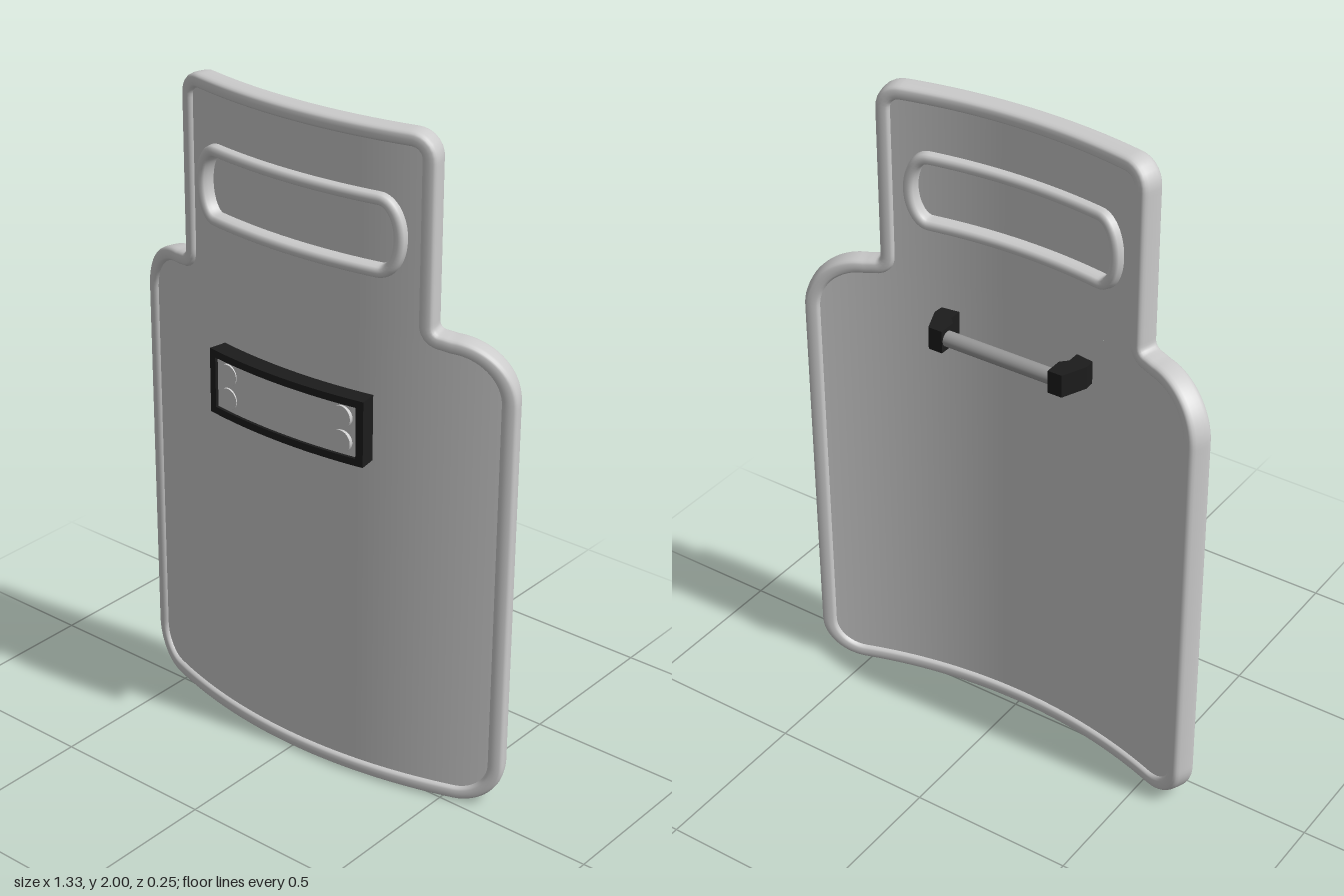
import * as THREE from 'three';

const R = 1.58; // radius of the curved sheet
const ZC = 0.043; // z of the sheet's middle surface at x = 0
const grey = new THREE.MeshStandardMaterial({ color: 0xcccccc });
const black = new THREE.MeshStandardMaterial({ color: 0x1c1c1c });
const steel = new THREE.MeshStandardMaterial({ color: 0x999999 });

// Wraps a flat point onto the curved sheet; z is the offset from its middle surface
function bend(x, y, z) {
  const k = (R + z) / R;
  return [x * k, y, Math.sqrt(R * R - x * x) * k - R + ZC];
}

function buildGeometry(pos, idx) {
  const g = new THREE.BufferGeometry();
  g.setAttribute('position', new THREE.Float32BufferAttribute(pos, 3));
  g.setIndex(idx);
  g.computeVertexNormals();
  return g;
}

// Rounded bead swept round a closed outline (anticlockwise), then bent
function bead(points, halfWidth, halfDepth, sides = 20) {
  const pos = [], idx = [], n = points.length;
  const soft = (v) => Math.sign(v) * Math.pow(Math.abs(v), 0.6);
  points.forEach((p, i) => {
    const t = points[(i + 1) % n].clone().sub(points[(i + n - 1) % n]).normalize();
    for (let j = 0; j < sides; j++) {
      const a = (j / sides) * Math.PI * 2;
      const w = halfWidth * soft(Math.cos(a));
      pos.push(...bend(p.x + t.y * w, p.y - t.x * w, halfDepth * soft(Math.sin(a))));
      const A = i * sides + j, B = ((i + 1) % n) * sides + j;
      const C = i * sides + (j + 1) % sides, D = ((i + 1) % n) * sides + (j + 1) % sides;
      idx.push(A, B, C, B, D, C);
    }
  });
  return buildGeometry(pos, idx);
}

// Front and back skins between two height functions of x
function sheet(halfX, lo, hi, halfDepth, cols = 120) {
  const pos = [], idx = [];
  for (const side of [1, -1]) {
    const base = pos.length / 3;
    for (let i = 0; i <= cols; i++) {
      const x = halfX * (2 * i / cols - 1);
      pos.push(...bend(x, lo(Math.abs(x)), side * halfDepth), ...bend(x, hi(Math.abs(x)), side * halfDepth));
      if (i === cols) continue;
      const a = base + i * 2;
      if (side > 0) idx.push(a, a + 2, a + 1, a + 2, a + 3, a + 1);
      else idx.push(a, a + 1, a + 2, a + 2, a + 1, a + 3);
    }
  }
  return buildGeometry(pos, idx);
}

function bentBox(w, h, d, x, y, z) {
  const g = new THREE.BoxGeometry(w, h, d, Math.max(1, Math.round(w * 50)), 1, 1).translate(x, y, z);
  const p = g.attributes.position;
  for (let i = 0; i < p.count; i++) p.setXYZ(i, ...bend(p.getX(i), p.getY(i), p.getZ(i)));
  g.computeVertexNormals();
  return g;
}

// Height lost at a rounded corner of radius r whose straight side is at x = edge
const corner = (x, edge, r) => {
  const d = Math.min(r, Math.max(0, x - (edge - r)));
  return r - Math.sqrt(r * r - d * d);
};

export function createModel() {
  const model = new THREE.Group();
  const add = (name, geometry, material = grey, parent = model) => {
    const m = new THREE.Mesh(geometry, material);
    m.name = name;
    parent.add(m);
    return m;
  };
  const group = (name) => {
    const g = new THREE.Group();
    g.name = name;
    model.add(g);
    return g;
  };

  // Rim: half outline from bottom centre to top centre, mirrored
  const half = new THREE.Path();
  half.moveTo(0, 0.022);
  half.lineTo(0.523, 0.022);
  half.absarc(0.523, 0.132, 0.11, -Math.PI / 2, 0, false);
  half.absarc(0.483, 1.27, 0.15, 0, Math.PI / 2, false);
  half.absarc(0.453, 1.465, 0.04, -Math.PI / 2, -Math.PI, true);
  half.absarc(0.363, 1.928, 0.05, 0, Math.PI / 2, false);
  half.lineTo(0, 1.978);
  const right = half.getSpacedPoints(240);
  const left = right.slice(1, -1).reverse().map((p) => new THREE.Vector2(-p.x, p.y));
  add('rim', bead([...right, ...left], 0.022, 0.036));

  // Curved panel, with an opening for the window
  const opening = (x) => 0.102 * Math.sqrt(Math.max(0, 1 - Math.pow(Math.max(0, x - 0.28) / 0.06, 2)));
  const panel = group('panel');
  add('lowerPanel', sheet(0.633, (x) => 0.022 + corner(x, 0.633, 0.11),
    (x) => 1.42 - corner(x, 0.633, 0.15), 0.022), grey, panel);
  add('panelBelowWindow', sheet(0.413, () => 1.42, (x) => 1.7 - opening(x), 0.022), grey, panel);
  add('panelAboveWindow', sheet(0.413, (x) => 1.7 + opening(x),
    (x) => 1.978 - corner(x, 0.413, 0.05), 0.022), grey, panel);

  // Window pane and its raised surround
  add('windowPane', sheet(0.34, (x) => 1.7 - opening(x), (x) => 1.7 + opening(x), 0.008));
  const surround = new THREE.Path();
  surround.moveTo(0, 1.598);
  surround.lineTo(0.28, 1.598);
  surround.absellipse(0.28, 1.7, 0.06, 0.102, -Math.PI / 2, Math.PI / 2, false, 0);
  surround.absellipse(-0.28, 1.7, 0.06, 0.102, Math.PI / 2, Math.PI * 1.5, false, 0);
  surround.lineTo(0, 1.598);
  add('windowSurround', bead(surround.getSpacedPoints(160).slice(0, -1), 0.018, 0.048, 16));

  // Front plate in a dark border, with four screw heads
  const plate = group('frontPlate');
  for (const s of [1, -1]) {
    add('plateBorderBar', bentBox(0.53, 0.022, 0.062, 0, 1.132 + s * 0.088, 0.046), black, plate);
    add('plateBorderEnd', bentBox(0.022, 0.155, 0.062, s * 0.254, 1.132, 0.046), black, plate);
  }
  add('plate', bentBox(0.488, 0.156, 0.05, 0, 1.132, 0.043), grey, plate);
  for (const x of [-0.206, 0.206]) for (const y of [1.095, 1.169]) {
    const screw = add('screwHead', new THREE.CylinderGeometry(0.033, 0.033, 0.03, 24), grey, plate);
    screw.rotation.x = Math.PI / 2;
    screw.position.set(x, y, 0.09);
  }

  // Rear handle: a bar between two brackets
  const handle = group('handle');
  const bar = add('handleBar', new THREE.CylinderGeometry(0.023, 0.023, 0.38, 20), steel, handle);
  bar.rotation.z = Math.PI / 2;
  bar.position.set(0, 1.3, -0.078);
  const profile = [[0.175, -0.105], [0.22, -0.105], [0.252, -0.03], [0.25, 0.01],
    [0.195, 0.01], [0.195, -0.03], [0.175, -0.05]];
  for (const s of [1, -1]) {
    const shape = new THREE.Shape(profile.map(([x, z]) => new THREE.Vector2(s * x, z)));
    const g = new THREE.ExtrudeGeometry(shape, { depth: 0.07, bevelEnabled: false });
    add('handleBracket', g.rotateX(Math.PI / 2).translate(0, 1.335, 0), black, handle);
  }
  return model;
}
